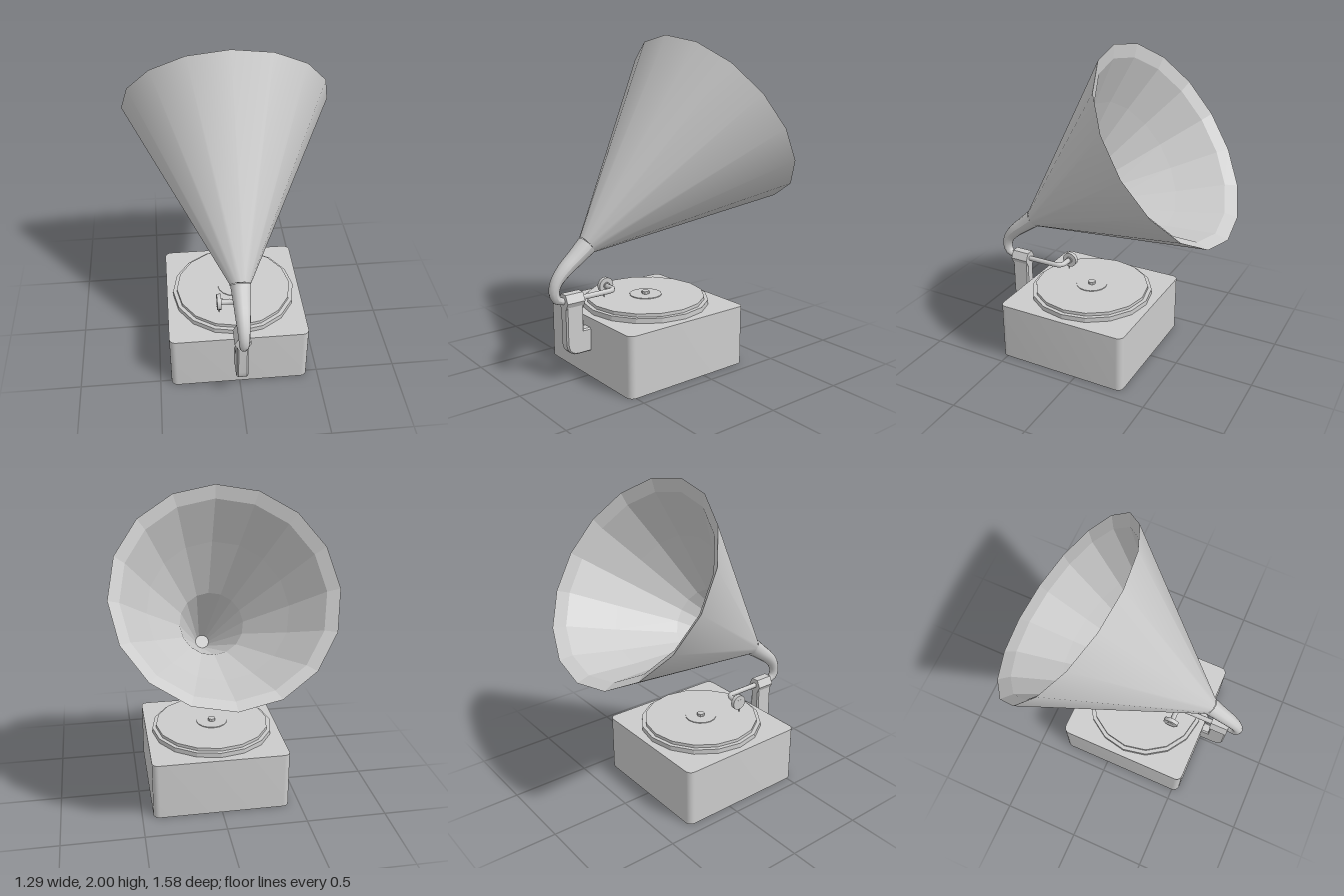
import * as THREE from 'three';
import { toCreasedNormals } from 'three/addons/utils/BufferGeometryUtils.js';

const smooth = new THREE.MeshStandardMaterial({ color: 0xcccccc, side: THREE.DoubleSide });
const flat = new THREE.MeshStandardMaterial({ color: 0xcccccc, side: THREE.DoubleSide, flatShading: true });
const V = (x, y, z) => new THREE.Vector3(x, y, z);

export function createModel() {
  const model = new THREE.Group();
  model.name = 'gramophone';

  function add(name, geometry, material = smooth, x = 0, y = 0, z = 0) {
    const mesh = new THREE.Mesh(geometry, material);
    mesh.name = name;
    mesh.position.set(x, y, z);
    model.add(mesh);
    return mesh;
  }

  // Cabinet: rounded square raised from the floor
  const h = 0.43, r = 0.04, cz = 0.11;
  const plan = new THREE.Shape();
  [[1, 1, 0], [-1, 1, 1], [-1, -1, 2], [1, -1, 3]].forEach(([sx, sy, q]) =>
    plan.absarc(sx * (h - r), sy * (h - r), r, q * Math.PI / 2, (q + 1) * Math.PI / 2));
  const box = new THREE.ExtrudeGeometry(plan, { depth: 0.37, bevelEnabled: false, curveSegments: 4 });
  box.rotateX(-Math.PI / 2);
  add('cabinet', toCreasedNormals(box, 0.6), smooth, 0, 0, cz);

  // Turntable, record, label and spindle: stacked discs
  const discs = [
    ['turntable', 0.39, 0.37, 0.4, 16],
    ['record', 0.365, 0.4, 0.42, 16],
    ['recordLabel', 0.1, 0.42, 0.425, 16],
    ['spindle', 0.024, 0.425, 0.442, 8],
  ];
  for (const [name, radius, y0, y1, sides] of discs) {
    add(name, new THREE.CylinderGeometry(radius, radius, y1 - y0, sides), flat, 0, (y0 + y1) / 2, cz);
  }

  // Horn: straight cone outside, thicker curved lining inside
  const length = 1.161;
  const lathe = (pts) => new THREE.LatheGeometry(pts.map(([a, b]) => new THREE.Vector2(a, b)), 16);
  const outer = lathe([[0.06, 0], [0.645, length]]);
  const inner = lathe([[0.645, length], [0.58, length - 0.05], [0.42, length - 0.31],
    [0.2, length - 0.64], [0.045, 0.02], [0, 0.02]]);
  for (const [name, geo, mat] of [['hornOuter', outer, smooth], ['hornLining', inner, flat]]) {
    add(name, geo, mat, 0, 0.805, 0.535).rotation.x = -THREE.MathUtils.degToRad(55);
  }

  // Horn neck: tube narrowing along its bend
  const neckCurve = new THREE.CatmullRomCurve3([
    V(0, 0.805, 0.535), V(0, 0.74, 0.615), V(0, 0.68, 0.69), V(0, 0.62, 0.742),
    V(0, 0.56, 0.76), V(0, 0.515, 0.745), V(0, 0.494, 0.7)]);
  const radii = [0.06, 0.051, 0.044, 0.036, 0.031, 0.028, 0.02];
  const steps = 18, sides = 12;
  const neck = new THREE.TubeGeometry(neckCurve, steps, 1, sides);
  const pos = neck.attributes.position;
  for (let i = 0; i <= steps; i++) {
    const c = neckCurve.getPointAt(i / steps);
    const t = neckCurve.getUtoTmapping(i / steps) * (radii.length - 1);
    const k = Math.min(Math.floor(t), radii.length - 2);
    const radius = THREE.MathUtils.lerp(radii[k], radii[k + 1], t - k);
    for (let j = 0; j <= sides; j++) {
      const n = i * (sides + 1) + j;
      const p = V().fromBufferAttribute(pos, n).sub(c).multiplyScalar(radius).add(c);
      pos.setXYZ(n, p.x, p.y, p.z);
    }
  }
  neck.computeVertexNormals();
  add('hornNeck', neck);

  // Bracket: side profile in z and y, hooked into the back of the cabinet
  const hook = new THREE.Shape();
  hook.moveTo(0.53, 0.165);
  hook.lineTo(0.62, 0.165);
  hook.quadraticCurveTo(0.7, 0.165, 0.7, 0.25);
  hook.lineTo(0.7, 0.5);
  hook.lineTo(0.585, 0.5);
  hook.lineTo(0.585, 0.31);
  hook.lineTo(0.53, 0.31);
  const hookGeo = new THREE.ExtrudeGeometry(hook, {
    depth: 0.05, bevelEnabled: true, bevelThickness: 0.01, bevelSize: 0.008, bevelOffset: -0.008,
    bevelSegments: 1, curveSegments: 5 });
  hookGeo.translate(0, 0, -0.025);
  hookGeo.rotateY(-Math.PI / 2);
  add('bracket', toCreasedNormals(hookGeo, 0.5));

  // Collar: six-sided block gripping the tone arm
  const collar = new THREE.CylinderGeometry(0.05, 0.05, 0.118, 6);
  collar.rotateY(Math.PI / 6 + Math.PI / 3);
  collar.rotateX(Math.PI / 2);
  collar.scale(1, 1.1, 1);
  add('collar', toCreasedNormals(collar, 0.5), smooth, 0, 0.49, 0.642);

  // Tone arm: straight run, then an elbow to the sound box
  const armPath = new THREE.CurvePath();
  const a = V(0, 0.494, 0.71), b = V(0, 0.494, 0.39), c = V(-0.05, 0.494, 0.338), d = V(-0.1, 0.494, 0.338);
  armPath.add(new THREE.LineCurve3(a, b));
  armPath.add(new THREE.QuadraticBezierCurve3(b, V(0, 0.494, 0.338), c));
  armPath.add(new THREE.LineCurve3(c, d));
  add('toneArm', new THREE.TubeGeometry(armPath, 24, 0.017, 8));

  // Sound box with centre boss, and needle
  for (const [name, radius, width, x] of [['soundBox', 0.05, 0.026, -0.111], ['soundBoxBoss', 0.022, 0.036, -0.107]]) {
    const disc = new THREE.CylinderGeometry(radius, radius, width, 14);
    disc.rotateZ(Math.PI / 2);
    add(name, toCreasedNormals(disc, 0.6), smooth, x, 0.494, 0.335);
  }
  add('needle', new THREE.CylinderGeometry(0.006, 0.003, 0.05, 6), smooth, -0.111, 0.447, 0.345);

  return model;
}
